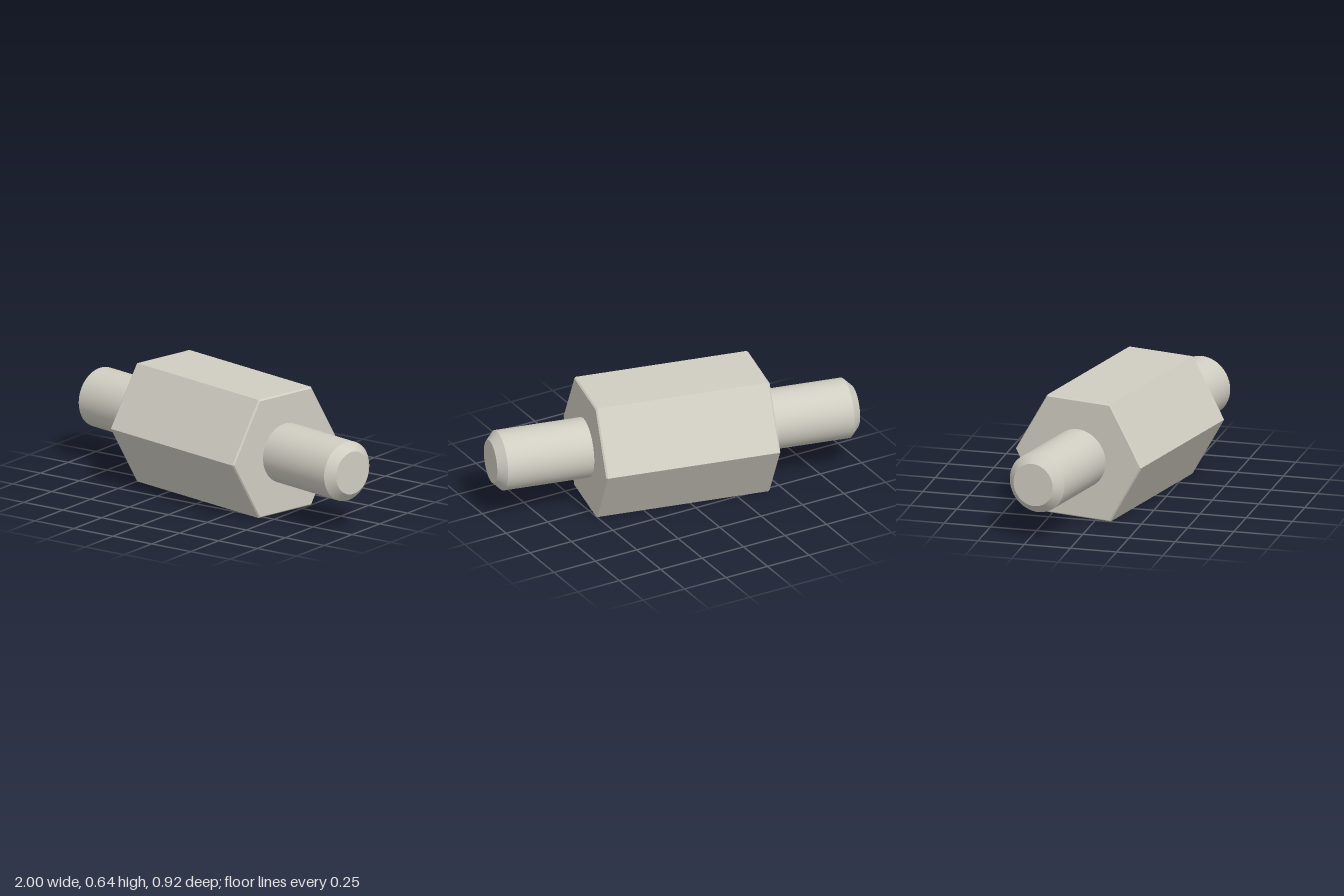
import * as THREE from 'three';
import { toCreasedNormals } from 'three/addons/utils/BufferGeometryUtils.js';

// Turned part along the x axis; profile is [radius, x] pairs from low to high x
function turned(name, profile, sides, material) {
  const points = profile.map(([r, x]) => new THREE.Vector2(r, x));
  const geometry = new THREE.LatheGeometry(points, sides).rotateZ(-Math.PI / 2);
  const mesh = new THREE.Mesh(toCreasedNormals(geometry, Math.PI / 6), material);
  mesh.name = name;
  return mesh;
}

export function createModel() {
  const metal = new THREE.MeshStandardMaterial({ color: 0xd0cdc2 });
  metal.name = 'pale metal';

  const model = new THREE.Group();
  model.name = 'hexStandoff';

  const halfBody = 0.478, hexRadius = 0.371, bevel = 0.008;
  const halfLength = 0.996, studRadius = 0.16, chamfer = 0.045;

  // Hexagonal body with finely bevelled ends
  model.add(turned('hexBody', [
    [0, -halfBody], [hexRadius - bevel, -halfBody], [hexRadius, -halfBody + bevel],
    [hexRadius, halfBody - bevel], [hexRadius - bevel, halfBody], [0, halfBody],
  ], 6, metal));

  // Round studs with chamfered tips, one at each end
  const studProfile = [
    [0, halfBody - 0.02], [studRadius, halfBody - 0.02],
    [studRadius, halfLength - chamfer], [studRadius - chamfer, halfLength], [0, halfLength],
  ];
  const leftStud = turned('leftStud', studProfile, 64, metal);
  const rightStud = turned('rightStud', studProfile, 64, metal);
  rightStud.rotation.y = Math.PI;
  model.add(leftStud, rightStud);

  // Turned slightly about the vertical, resting on one flat
  model.rotation.y = -THREE.MathUtils.degToRad(12.1);
  model.position.y = hexRadius * Math.sqrt(3) / 2;

  const root = new THREE.Group();
  root.name = 'model';
  root.add(model);
  return root;
}
